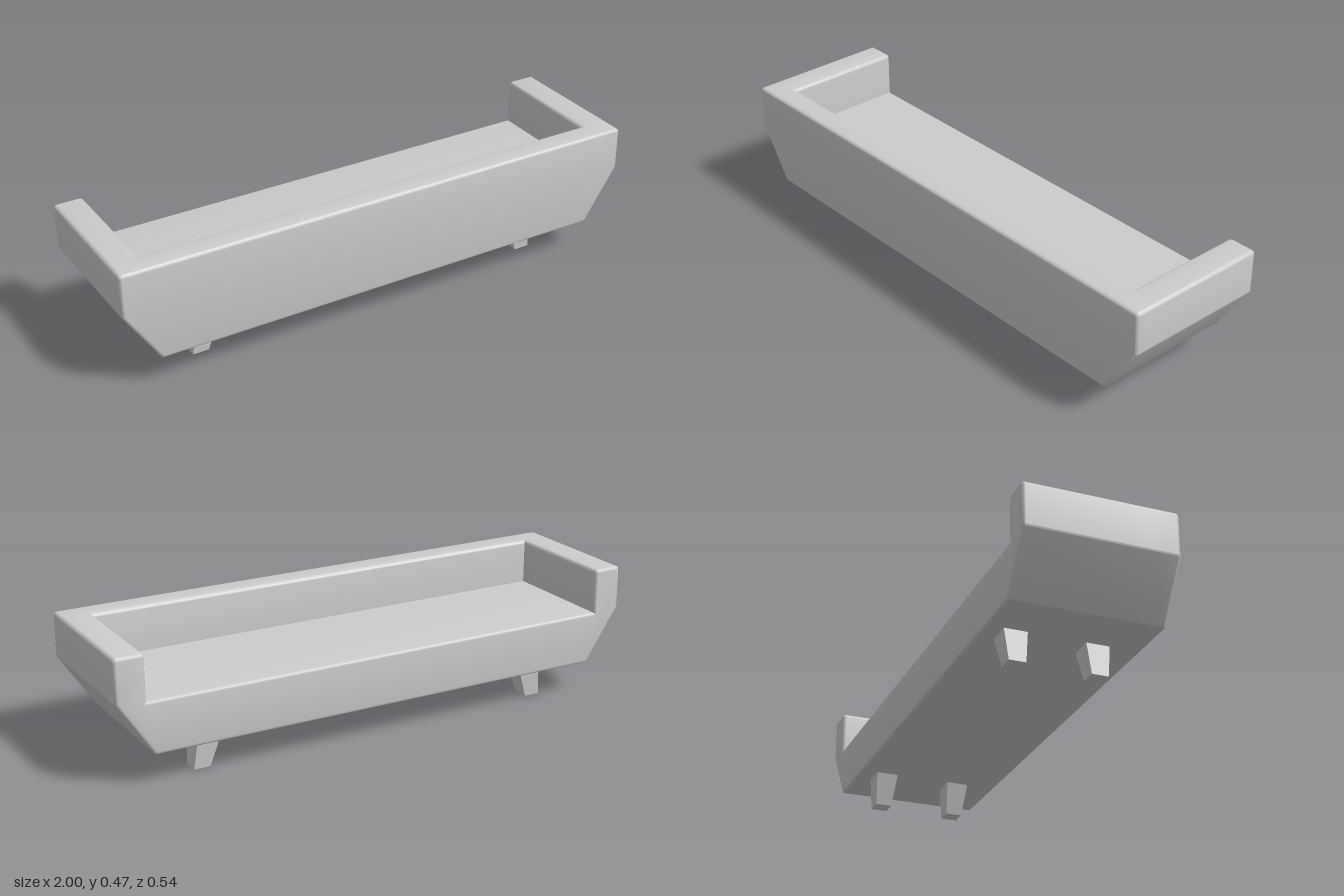
import * as THREE from 'three';
import { toCreasedNormals } from 'three/addons/utils/BufferGeometryUtils.js';

const TOP = 0.47, BASE = 0.115, SEAT = 0.305, BACK_Z = 0.18, DEPTH = 0.272;
const R = 0.014, STEPS = 4;

// Outline of base and arms seen from the front, counter-clockwise; 1 = rounded corner
const half = [[0.87, BASE, 1], [1, 0.312, 1], [1, TOP, 1], [0.893, TOP, 1], [0.893, SEAT, 0]];
const outline = [...half, ...half.map(([x, y, r]) => [-x, y, r]).reverse()];

// Outline moved inwards by `inset`, corners rounded, seat lifted to at least `lift`
function section(inset, z, lift) {
  const n = outline.length;
  const corners = outline.map(([x, y, round], i) => {
    const p = new THREE.Vector2(x, y);
    const a = new THREE.Vector2(...outline[(i + n - 1) % n].slice(0, 2));
    const b = new THREE.Vector2(...outline[(i + 1) % n].slice(0, 2));
    const d1 = p.clone().sub(a).normalize(), d2 = b.sub(p).normalize();
    const miter = new THREE.Vector2(-d1.y - d2.y, d1.x + d2.x);
    p.addScaledVector(miter, inset / (1 + d1.dot(d2)));
    return { p, d1, d2, round };
  });
  const pts = [];
  corners.forEach(({ p, d1, d2, round }, i) => {
    if (!round) { pts.push(p); return; }
    const t = Math.max(R - inset, 0.001) * Math.tan(Math.acos(d1.dot(d2)) / 2);
    const s = p.clone().addScaledVector(d1, -t), e = p.clone().addScaledVector(d2, t);
    pts.push(...new THREE.QuadraticBezierCurve(s, p, e).getPoints(STEPS));
  });
  // only the upper inner points are lifted; the outside keeps its shape
  return pts.map((p) => {
    const inner = Math.abs(p.x) < 0.91 && p.y > 0.25;
    return new THREE.Vector3(p.x, inner ? Math.max(p.y, lift) : p.y, z);
  });
}

// One solid: base, arms and backrest lofted from the open side to the closed side
function bodyGeometry() {
  const E = 0.012, loops = [];
  const arc = (k) => [E * (1 - Math.sin(k * Math.PI / 2)), E * (1 - Math.cos(k * Math.PI / 2))];
  for (let k = 0; k <= STEPS; k++) {
    const [inset, dz] = arc(k / STEPS);
    loops.push(section(inset, -DEPTH + dz, 0));
  }
  loops.push(section(0, BACK_Z, 0));
  for (let k = 0; k <= STEPS; k++) {
    const a = k / STEPS * Math.PI / 2;
    loops.push(section(0, BACK_Z + R * (1 - Math.cos(a)), TOP - R * (1 - Math.sin(a))));
  }
  for (let k = STEPS; k >= 0; k--) {
    const [inset, dz] = arc(k / STEPS);
    loops.push(section(inset, DEPTH - dz, TOP - inset));
  }

  const n = loops[0].length, index = [];
  for (let k = 0; k < loops.length - 1; k++) {
    for (let i = 0; i < n; i++) {
      const a = k * n + i, b = k * n + (i + 1) % n;
      index.push(a, b, b + n, a, b + n, a + n);
    }
  }
  const cap = (loop) => THREE.ShapeUtils.triangulateShape(loop.map((v) => new THREE.Vector2(v.x, v.y)), []);
  const last = (loops.length - 1) * n;
  cap(loops[0]).forEach(([a, b, c]) => index.push(a, c, b));
  cap(loops[loops.length - 1]).forEach(([a, b, c]) => index.push(last + a, last + b, last + c));

  const g = new THREE.BufferGeometry().setFromPoints(loops.flat());
  g.setIndex(index);
  return toCreasedNormals(g, 0.5);
}

// Square leg, narrower at the foot and splayed outwards
function legGeometry(side) {
  const h = BASE + 0.005;
  const g = new THREE.BoxGeometry(1, h, 1).translate(0, h / 2, 0);
  const pos = g.attributes.position;
  for (let i = 0; i < pos.count; i++) {
    const top = pos.getY(i) > h / 2;
    pos.setX(i, pos.getX(i) * (top ? 0.087 : 0.06) + side * (top ? 0.649 : 0.675));
    pos.setZ(i, pos.getZ(i) * (top ? 0.083 : 0.06));
  }
  const flat = g.toNonIndexed();
  flat.computeVertexNormals();
  return flat;
}

export function createModel() {
  const group = new THREE.Group();
  group.name = 'sofa';
  const material = new THREE.MeshStandardMaterial({ color: 0xcccccc });

  const body = new THREE.Mesh(bodyGeometry(), material);
  body.name = 'upholsteredBody';
  group.add(body);

  for (const side of [1, -1]) {
    for (const [z, row] of [[0.117, 'Front'], [-0.169, 'Back']]) {
      const leg = new THREE.Mesh(legGeometry(side), material);
      leg.position.z = z;
      leg.name = (side > 0 ? 'left' : 'right') + row + 'Leg';
      group.add(leg);
    }
  }
  return group;
}
